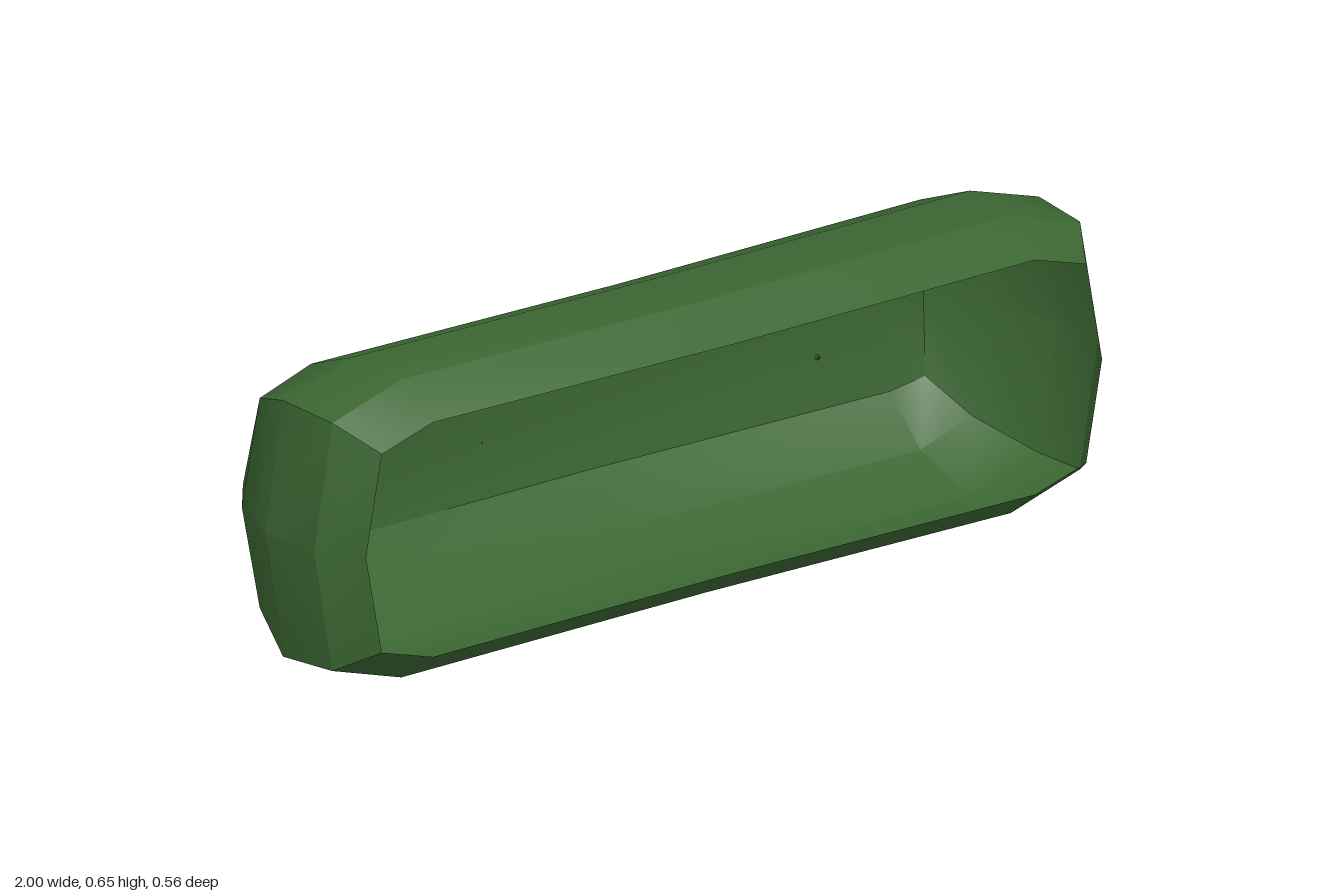
import * as THREE from 'three';
import { toCreasedNormals } from 'three/addons/utils/BufferGeometryUtils.js';

const mat = (name, color, side = THREE.FrontSide) => {
  const m = new THREE.MeshStandardMaterial({ color, side });
  m.name = name;
  return m;
};

const MID = 0.325;

// One twelve-point cross-section: flat top and bottom, chamfered corners, pointed ends
function ring({ z, top, corner, xs, xc, xt, zc = z, zs = z }) {
  return [
    [xs, 0, zs], [xc, corner, zc], [xt, top, z], [0, top - 0.006, z],
    [-xt, top, z], [-xc, corner, zc], [-xs, 0, zs], [-xc, -corner, zc],
    [-xt, -top, z], [0, -top + 0.006, z], [xt, -top, z], [xc, -corner, zc],
  ].map(([x, y, zz]) => new THREE.Vector3(x, y + MID, zz));
}

function shellGeometry() {
  const rings = [
    { z: 0.28, top: 0.248, corner: 0.21, xs: 0.93, xc: 0.89, xt: 0.76 },
    { z: 0.19, top: 0.315, corner: 0.262, xs: 0.99, xc: 0.945, xt: 0.77 },
    { z: 0.045, top: 0.323, corner: 0.271, xs: 1.0, xc: 0.955, xt: 0.78 },
    { z: -0.1, top: 0.265, corner: 0.222, xs: 0.945, xc: 0.9, xt: 0.77 },
    { z: -0.2, top: 0.17, corner: 0.148, xs: 0.86, xc: 0.845, xt: 0.77, zc: -0.18, zs: -0.205 },
  ].map(ring);
  // Back panel closes onto a ridge along its middle
  rings.push(rings[4].map((p) => {
    const x = Math.abs(p.x) < 0.01 ? 0 : Math.sign(p.x) * 0.77;
    return new THREE.Vector3(x, MID, x === 0 ? -0.237 : -0.222);
  }));
  const pts = [];
  const tri = (a, b, c) => {
    if (a.distanceTo(b) > 1e-5 && b.distanceTo(c) > 1e-5 && c.distanceTo(a) > 1e-5) pts.push(a, b, c);
  };
  for (let i = 0; i < rings.length - 1; i++) {
    for (let j = 0; j < 12; j++) {
      const k = (j + 1) % 12;
      const a = rings[i][j], b = rings[i][k], c = rings[i + 1][k], d = rings[i + 1][j];
      tri(a, d, c);
      tri(a, c, b);
    }
  }
  return toCreasedNormals(new THREE.BufferGeometry().setFromPoints(pts), 0.5);
}

// Nearly square petal plate with slightly rounded corners
function petalGeometry() {
  const shape = new THREE.Shape();
  for (let i = 0; i < 8; i++) {
    const a = (i * Math.PI) / 4;
    const r = i % 2 ? 0.06 : 0.046;
    shape[i ? 'lineTo' : 'moveTo'](r * Math.cos(a), r * Math.sin(a));
  }
  shape.closePath();
  return new THREE.ExtrudeGeometry(shape, { depth: 0.003, bevelEnabled: false });
}

export function createModel() {
  const model = new THREE.Group();
  model.name = 'hedge';
  const leaf = mat('leaf green', 0x3b6632, THREE.DoubleSide);
  const red = mat('petal red', 0xbf2f35);
  const yellow = mat('pollen yellow', 0xc8c864);

  // Hollow bush shell, open at the front
  const shell = new THREE.Mesh(shellGeometry(), leaf);
  shell.name = 'bushShell';
  model.add(shell);

  // Flower parts, facing local +z with the petals at the origin
  const stemGeo = new THREE.ConeGeometry(0.022, 0.045, 8).rotateX(-Math.PI / 2).translate(0, 0, -0.0225);
  const petalGeo = petalGeometry();
  const budGeo = toCreasedNormals(new THREE.LatheGeometry([
    [0.018, 0], [0.023, 0.007], [0.019, 0.018], [0, 0.023],
  ].map(([r, h]) => new THREE.Vector2(r, h)), 7).rotateX(Math.PI / 2), 0.5);

  // Position, facing tilt (x, y), roll and scale of each flower on the back
  const flowers = [
    [0.16, 0.405, -0.236, 0, 0.45, 0.1, 0.88],
    [-0.77, 0.347, -0.243, -0.2, 0.02, 0.05, 0.92],
    [-0.24, 0.268, -0.246, 0.03, 0, 0.2, 0.55],
    [0.6, 0.257, -0.239, 0.08, -0.22, 0.5, 0.85],
    [-0.12, 0.193, -0.253, -0.04, -0.15, 0.2, 0.95],
  ];
  for (const [x, y, z, tx, ty, roll, s] of flowers) {
    const flower = new THREE.Group();
    flower.name = 'flower';
    // The stem runs from just inside the back panel
    const stem = new THREE.Mesh(stemGeo, leaf);
    stem.name = 'stem';
    // ConeGeometry tip points towards the bush
    const petals = new THREE.Mesh(petalGeo, red);
    petals.name = 'petals';
    const bud = new THREE.Mesh(budGeo, yellow);
    bud.name = 'flowerCentre';
    bud.position.z = 0.002;
    flower.add(stem, petals, bud);
    flower.position.set(x, y, z);
    flower.lookAt(x + tx, y + ty, z - 1);
    flower.rotateZ(roll);
    flower.scale.setScalar(s);
    model.add(flower);
  }
  return model;
}
